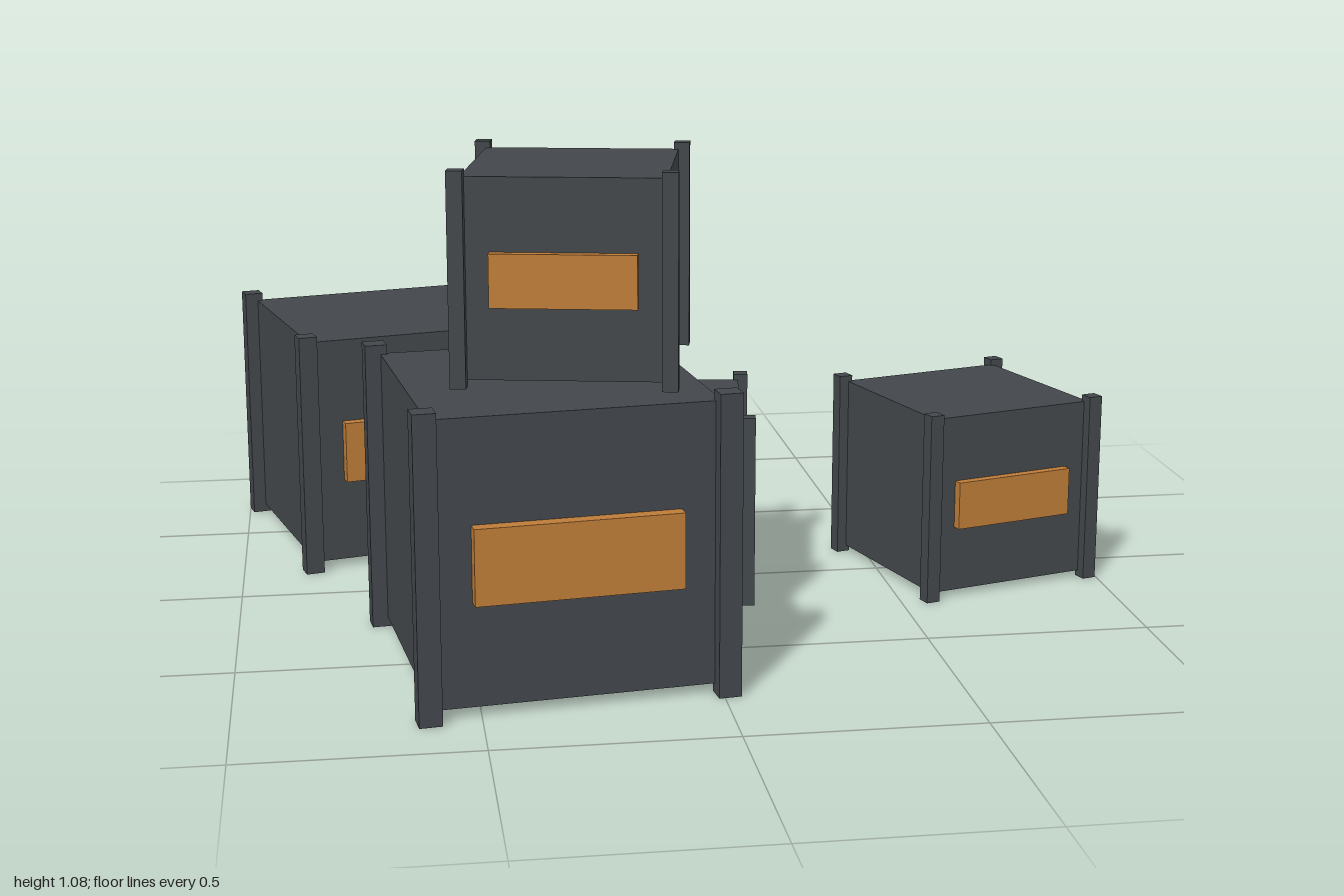
import * as THREE from 'three';

const slate = new THREE.MeshStandardMaterial({ color: 0x42474b });
slate.name = 'slate grey';
const amber = new THREE.MeshStandardMaterial({ color: 0xbd7c38 });
amber.name = 'amber label';

function addBox(parent, name, size, position, material) {
  const mesh = new THREE.Mesh(new THREE.BoxGeometry(...size), material);
  mesh.name = name;
  mesh.position.set(...position);
  parent.add(mesh);
}

// A cubic crate with four corner posts and a front label, all scaled from its size s
function makeCrate(name, s, x, base, z, turn) {
  const crate = new THREE.Group();
  crate.name = name;
  const postHeight = 1.07 * s;
  const mid = postHeight / 2;
  addBox(crate, 'crateBody', [s, s, s], [0, mid, 0], slate);
  for (const sx of [-1, 1]) {
    for (const sz of [-1, 1]) {
      addBox(crate, 'cornerPost', [0.08 * s, postHeight, 0.08 * s],
        [sx * 0.517 * s, mid, sz * 0.517 * s], slate);
    }
  }
  // label plate stands proud of the front face
  addBox(crate, 'labelPlate', [0.72 * s, 0.267 * s, 0.1 * s], [0, mid, 0.5 * s], amber);
  crate.position.set(x, base, z);
  crate.rotation.y = turn;
  return crate;
}

export function createModel() {
  const model = new THREE.Group();
  model.name = 'crateStack';
  model.add(
    makeCrate('largeFrontCrate', 0.6, -0.338, 0, 0.497, 0.125),
    makeCrate('backCrate', 0.538, -0.636, 0, -0.508, 0.25),
    makeCrate('middleCrate', 0.413, -0.037, 0, -0.028, -0.13),
    makeCrate('sideCrate', 0.413, 0.711, 0, -0.015, 0.29),
    makeCrate('stackedCrate', 0.413, -0.273, 0.642, 0.493, -0.2),
  );
  return model;
}
